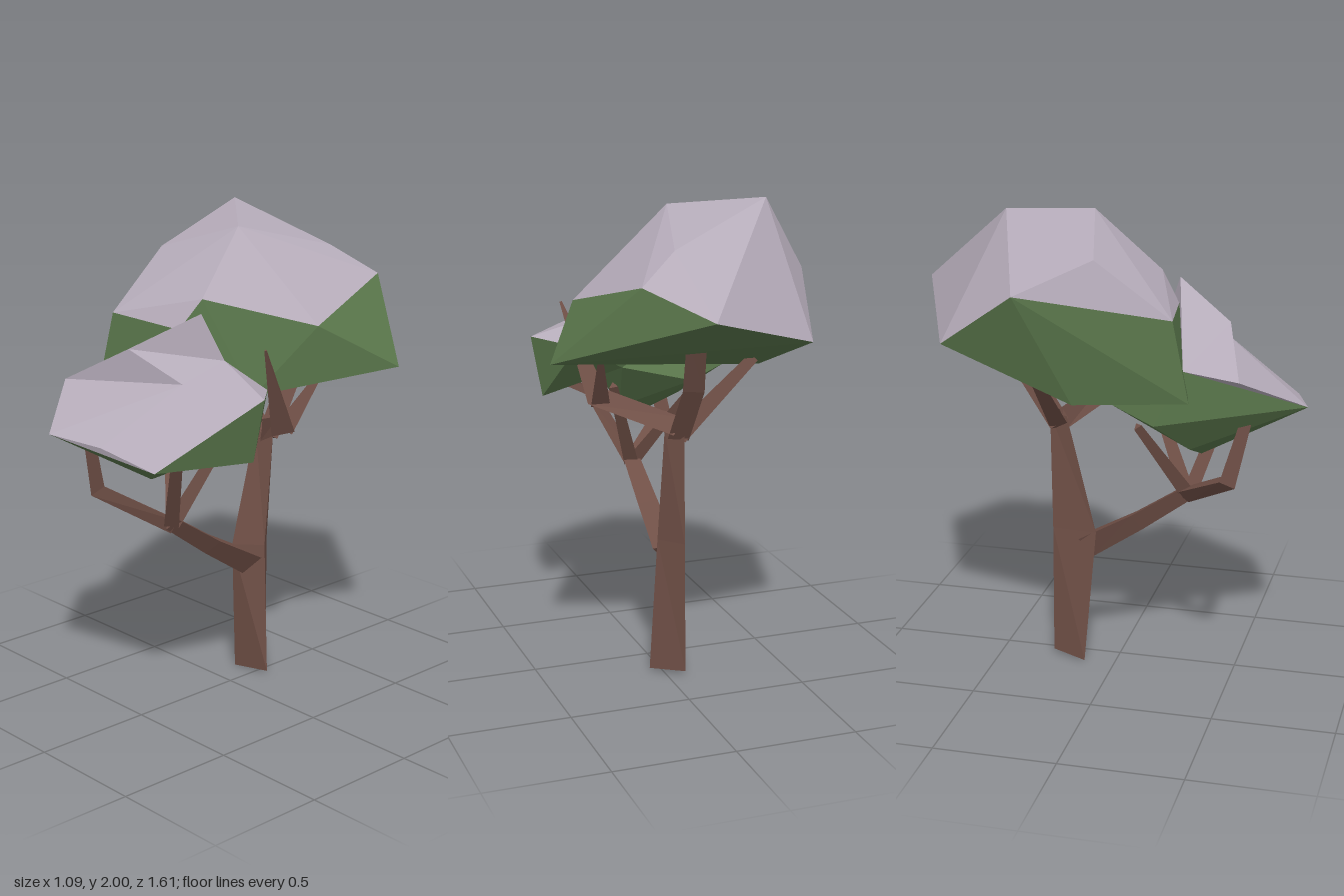
import * as THREE from 'three';
import { ConvexGeometry } from 'three/addons/geometries/ConvexGeometry.js';

const flat = (name, color) => {
  const m = new THREE.MeshStandardMaterial({ color, flatShading: true });
  m.name = name;
  return m;
};

function meshFrom(name, positions, material) {
  const g = new THREE.BufferGeometry();
  g.setAttribute('position', new THREE.Float32BufferAttribute(positions, 3));
  g.computeVertexNormals();
  const mesh = new THREE.Mesh(g, material);
  mesh.name = name;
  return mesh;
}

// Closed skin over three-cornered cross-sections, counter-clockwise about the path
function skin(name, rings, material) {
  const out = [];
  const tri = (...t) => t.forEach(p => out.push(p.x, p.y, p.z));
  const last = rings.length - 1;
  for (let i = 0; i < last; i++) {
    for (let j = 0; j < 3; j++) {
      const k = (j + 1) % 3;
      tri(rings[i][j], rings[i][k], rings[i + 1][j]);
      tri(rings[i][k], rings[i + 1][k], rings[i + 1][j]);
    }
  }
  tri(rings[0][0], rings[0][2], rings[0][1]);
  tri(...rings[last]);
  return meshFrom(name, out, material);
}

// Three-sided tapered limb along a path of [x, y, z, radius]
function limb(name, path, material) {
  const pts = path.map(p => new THREE.Vector3(p[0], p[1], p[2]));
  const rings = pts.map((p, i) => {
    const dir = pts[Math.min(i + 1, pts.length - 1)].clone().sub(pts[Math.max(i - 1, 0)]).normalize();
    const u = new THREE.Vector3(1, 0, 0.2);
    u.addScaledVector(dir, -u.dot(dir)).normalize();
    const v = dir.clone().cross(u);
    return [0, 1, 2].map(j => {
      const a = 0.5 + j * Math.PI * 2 / 3;
      return p.clone().addScaledVector(u, Math.cos(a) * path[i][3]).addScaledVector(v, Math.sin(a) * path[i][3]);
    });
  });
  return skin(name, rings, material);
}

// Faceted crown: faces whose corners are all upper points are pale, the rest green
function crown(name, upper, lower, pale, green) {
  const up = upper.map(p => new THREE.Vector3(...p));
  const all = up.concat(lower.map(p => new THREE.Vector3(...p)));
  const pos = new ConvexGeometry(all).getAttribute('position');
  const top = [], under = [];
  for (let i = 0; i < pos.count; i += 3) {
    const t = [0, 1, 2].map(k => new THREE.Vector3().fromBufferAttribute(pos, i + k));
    const isTop = t.every(v => up.some(p => p.distanceTo(v) < 1e-4));
    t.forEach(v => (isTop ? top : under).push(v.x, v.y, v.z));
  }
  const g = new THREE.Group();
  g.name = name;
  if (top.length) g.add(meshFrom(name + 'Top', top, pale));
  if (under.length) g.add(meshFrom(name + 'Underside', under, green));
  return g;
}

export function createModel() {
  const bark = flat('bark brown', 0x6f4f46);
  const green = flat('leaf green', 0x577349);
  const pale = flat('pale lavender', 0xb5abb9);
  const tree = new THREE.Group();
  tree.name = 'tree';

  // Trunk, a tapering triangular prism
  const trunkRings = [
    [[-0.11, 0, -0.13], [0.05, 0.01, -0.17], [-0.07, 0.02, -0.275]],
    [[-0.08, 0.58, -0.085], [0.02, 0.58, -0.18], [-0.065, 0.58, -0.275]],
    [[-0.07, 1.08, -0.21], [0.01, 1.06, -0.235], [-0.055, 1.08, -0.285]],
  ].map(r => r.map(p => new THREE.Vector3(...p)));
  tree.add(skin('trunk', trunkRings, bark));

  // Upper branches, carrying the large crown
  const upperBranches = [
    [[-0.04, 1.06, -0.25, 0.055], [0.24, 1.17, -0.06, 0.055], [0.33, 1.54, 0.12, 0.006]],
    [[0.23, 1.16, -0.08, 0.045], [0.28, 1.38, -0.24, 0.012]],
    [[-0.04, 1.04, -0.25, 0.05], [-0.05, 1.27, -0.39, 0.05], [-0.02, 1.52, -0.5, 0.045]],
    [[-0.04, 1.04, -0.25, 0.045], [-0.36, 1.34, -0.26, 0.025]],
  ];
  // Lower bough and its forks, carrying the small crown
  const lowerBranches = [
    [[-0.03, 0.51, -0.14, 0.065], [-0.03, 0.64, 0.08, 0.05], [-0.03, 0.79, 0.3, 0.04]],
    [[-0.03, 0.77, 0.28, 0.04], [-0.25, 0.92, 0.5, 0.04], [-0.22, 1.2, 0.57, 0.025]],
    [[-0.03, 0.78, 0.3, 0.035], [0.12, 1.08, 0.4, 0.028], [0.28, 1.15, 0.43, 0.015]],
    [[-0.03, 0.78, 0.29, 0.035], [0.11, 1.17, 0.11, 0.022]],
    [[-0.03, 0.78, 0.29, 0.035], [-0.24, 1.12, 0.13, 0.02]],
  ];
  upperBranches.forEach((p, i) => tree.add(limb('upperBranch' + (i + 1), p, bark)));
  lowerBranches.forEach((p, i) => tree.add(limb('lowerBranch' + (i + 1), p, bark)));

  // Large crown
  tree.add(crown('largeCrown', [
    [-0.36, 2, -0.36], [-0.05, 1.95, -0.09], [0.07, 1.84, -0.5], [0.24, 1.73, -0.61],
    [0.02, 1.62, -0.81], [-0.46, 1.47, -0.61], [-0.55, 1.7, -0.29], [-0.42, 1.83, 0],
    [-0.38, 1.6, 0.3], [-0.03, 1.58, 0.25], [0.02, 1.7, 0.17], [0.36, 1.6, -0.14],
  ], [
    [0.54, 1.42, -0.42], [0.23, 1.33, 0.09], [-0.46, 1.26, -0.08], [-0.4, 1.28, 0.37],
  ], pale, green));

  // Small crown: broad cap, a stepped ridge on top and a lobe hanging on one side
  const west = [-0.37, 1.37, 0.56], middle = [0.16, 1.42, 0.4], back = [0.14, 1.47, 0.16], rear = [-0.37, 1.4, 0.34];
  const frontTip = [-0.17, 1.23, 0.8], frontEdge = [0.06, 1.21, 0.73], hollow = [0.04, 1.22, 0.2];
  const step = [-0.08, 1.53, 0.47];
  tree.add(crown('smallCrown', [
    west, middle, back, rear, frontTip, frontEdge, [0.28, 1.14, 0.65], [0.43, 1.38, 0.22], [0.28, 1.36, 0.06],
  ], [[0.38, 1.12, 0.23], hollow], pale, green));
  tree.add(crown('smallCrownStep', [west, middle, back, rear, step], [], pale, green));
  tree.add(crown('smallCrownRidge', [back, rear, step, [0.08, 1.66, 0.23]], [], pale, green));
  tree.add(crown('smallCrownLobe', [rear, frontTip, frontEdge], [
    hollow, [-0.435, 1.19, 0.24], [-0.27, 1.05, 0.35], [-0.08, 0.97, 0.36], [0, 1.01, 0.35], [-0.2, 1.19, 0.01],
  ], pale, green));

  return tree;
}
